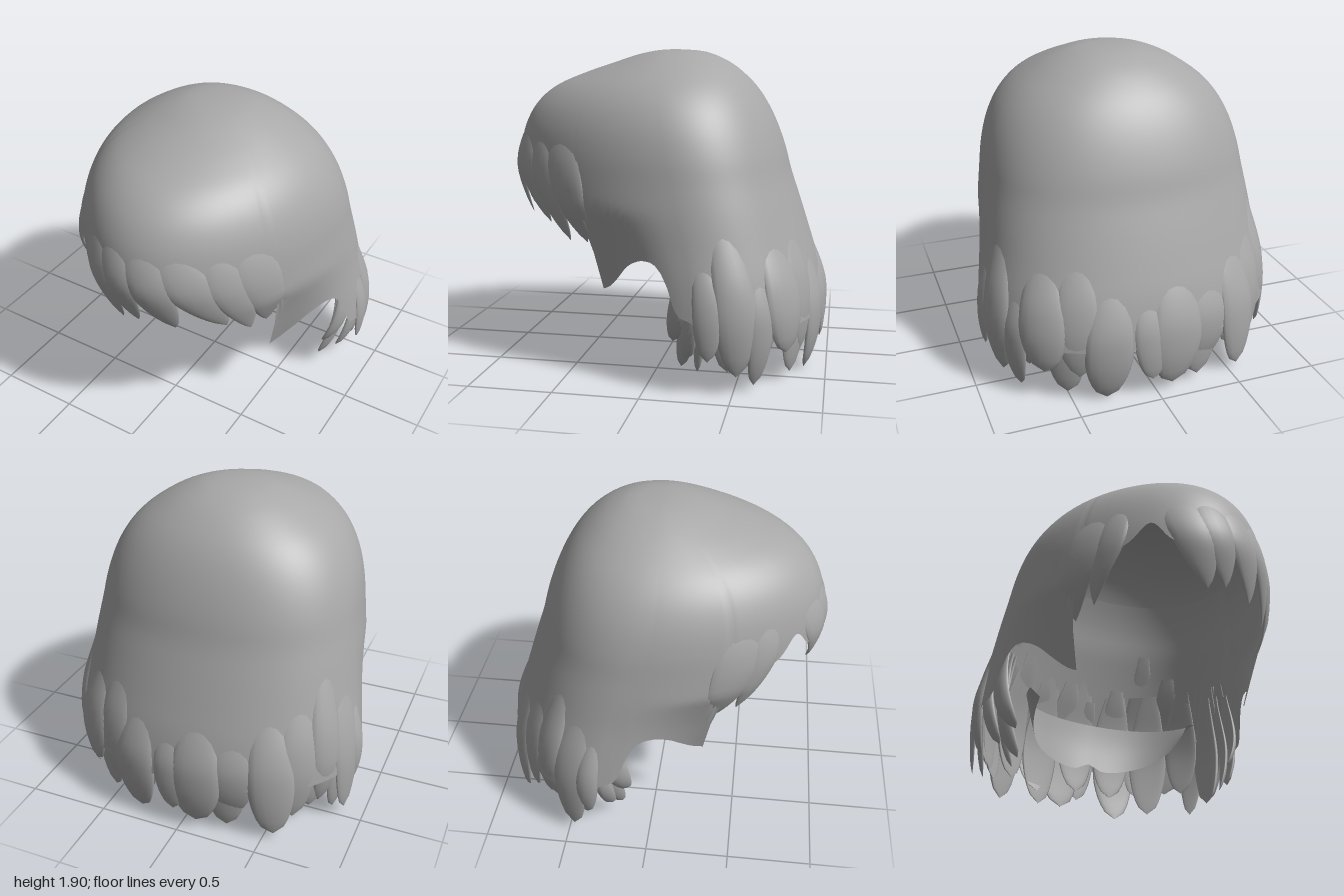
import * as THREE from 'three';
import { mergeVertices } from 'three/addons/utils/BufferGeometryUtils.js';

const RAD = Math.PI / 180;
const { lerp, clamp, smoothstep } = THREE.MathUtils;
const bump = (a, mid, width) => Math.exp(-(((a - mid) / width) ** 2));

// Outline of the hair by height: y, half width, front z, back z
const OUTLINE = [
  [1.9, 0, -0.02, -0.02], [1.888, 0.17, 0.12, -0.19], [1.86, 0.27, 0.24, -0.28],
  [1.82, 0.365, 0.36, -0.36], [1.76, 0.47, 0.54, -0.44], [1.68, 0.58, 0.73, -0.52],
  [1.58, 0.67, 0.855, -0.59], [1.45, 0.74, 0.935, -0.655], [1.3, 0.785, 0.975, -0.71],
  [1.15, 0.81, 0.985, -0.75], [1, 0.835, 0.96, -0.8], [0.8, 0.865, 0.92, -0.865],
  [0.6, 0.9, 0.9, -0.925], [0.4, 0.925, 0.9, -0.96], [0, 0.93, 0.88, -0.975],
].map(([y, ...row]) => [Math.sqrt(1.9 - y), ...row]);

// Bottom edge of the cap: degrees from the front, y
const HEM = [
  [0, 1.12], [48, 1.12], [57, 0.95], [60, 0.5], [62.5, 0.52], [65, 0.56], [68, 0.62],
  [71, 0.68], [74, 0.715], [77, 0.735], [80, 0.73], [82, 0.7], [84, 0.6], [86, 0.45],
  [100, 0.36], [180, 0.34],
];

function segment(table, key) {
  let i = 1;
  while (i < table.length - 1 && key > table[i][0]) i++;
  const [a, b] = [table[i - 1], table[i]];
  return [i, clamp((key - a[0]) / (b[0] - a[0]), 0, 1)];
}

// Smoothly interpolated outline at a height
function outline(y) {
  const [i, t] = segment(OUTLINE, Math.sqrt(Math.max(0, 1.9 - y)));
  const last = OUTLINE.length - 1;
  const slope = (k, c) => {
    const p = OUTLINE[Math.max(0, k - 1)], n = OUTLINE[Math.min(last, k + 1)];
    return (n[c] - p[c]) / (n[0] - p[0]);
  };
  const h = OUTLINE[i][0] - OUTLINE[i - 1][0];
  return [1, 2, 3].map((c) => {
    const a = OUTLINE[i - 1][c], b = OUTLINE[i][c];
    return lerp(a, b, t * t * (3 - 2 * t))
      + h * t * (1 - t) * ((1 - t) * slope(i - 1, c) - t * slope(i, c));
  });
}

// Point on the hair surface at an angle (0 = front, 90 = left) and height
function surface(deg, y, offset = 0, scale = 1) {
  const [hx, zf, zb] = outline(y);
  const s = Math.sin(deg * RAD), c = Math.cos(deg * RAD);
  const zc = -0.02 - 0.25 * smoothstep(1.9 - y, 0, 1.5);
  // narrower front corners, fuller back corners
  const full = 1 + (c > 0 ? -0.03 : 0.035) * (2 * s * c) ** 2;
  let x = hx * s * full;
  // side panels draw in toward the cheeks
  const side = Math.abs(((deg + 540) % 360) - 180);
  if (y < 1) x *= 1 - 0.5 * (1 - y) * bump(side, 60, 17);
  const z = (c > 0 ? zf - zc : zc - zb) * c * full;
  return [(x + s * offset) * scale, y, zc + (z + c * offset) * scale];
}

function hem(deg) {
  const [i, t] = segment(HEM, Math.abs(deg));
  return lerp(HEM[i - 1][1], HEM[i][1], t) + 0.14 * bump(deg, -30, 6);
}

// Sheet of nu by nv cells from a rule
function sheet(nu, nv, rule) {
  const pos = [], index = [];
  for (let j = 0; j <= nv; j++) {
    for (let i = 0; i <= nu; i++) pos.push(...rule(i / nu, j / nv));
  }
  for (let j = 0; j < nv; j++) {
    for (let i = 0; i < nu; i++) {
      const a = j * (nu + 1) + i, b = a + nu + 1;
      index.push(a, b, a + 1, a + 1, b, b + 1);
    }
  }
  let g = new THREE.BufferGeometry();
  g.setAttribute('position', new THREE.Float32BufferAttribute(pos, 3));
  g.setIndex(index);
  g = mergeVertices(g, 1e-5);
  g.computeVertexNormals();
  return g;
}

// Flat lock that rises out of the surface; "widest" is where it starts to taper to the tip
function lockGeometry({ top, tip, half, yTop, yTip, widest = 0.6, point = 0.5,
  thick = 0.03, scale = 1, curl = 0.04, sink = 0.045 }) {
  return sheet(16, 18, (u, v) => {
    const a = u >= 1 ? 0 : u * Math.PI * 2;
    const across = -Math.cos(a), out = Math.sin(a);
    const width = v < widest ? lerp(0.35, 1, Math.sin(v / widest * Math.PI / 2))
      : Math.max(0, 1 - ((v - widest) / (1 - widest)) ** 1.7) ** point;
    const deg = lerp(top, tip, v ** 1.5) + across * half * width;
    const lift = -sink * (1 - smoothstep(v, 0, 0.6));
    const body = thick * out * (out > 0 ? 1 : 0.5) * Math.min(1, width + 0.05);
    return surface(deg, lerp(yTop, yTip, v), lift + body - curl * v ** 4, scale);
  });
}

export function createModel() {
  const model = new THREE.Group();
  model.name = 'hair';
  const hair = new THREE.MeshStandardMaterial({ color: 0xa8a8a8, side: THREE.DoubleSide });
  hair.name = 'hair grey';

  const add = (name, geometry, parent = model) => {
    const mesh = new THREE.Mesh(geometry, hair);
    mesh.name = name;
    parent.add(mesh);
  };
  const group = (name) => {
    const g = new THREE.Group();
    g.name = name;
    model.add(g);
    return g;
  };

  // Main cap with side panels and open face
  add('cap', sheet(240, 40, (u, v) => {
    const deg = u >= 1 ? -180 : -180 + u * 360;
    return surface(deg, lerp(1.9, hem(deg), v ** 1.5));
  }));

  // Inner lining behind the face opening
  add('innerCap', sheet(48, 12, (u, v) => {
    const deg = lerp(85, 275, u);
    return surface(deg, lerp(1.5, 0.87 + 0.03 * Math.sin(u * 9), v), 0, 0.94);
  }));

  // Curved underlayer at the nape
  add('nape', sheet(36, 8, (u, v) => {
    const k = Math.abs(2 * u - 1);
    const low = 0.25 + 0.3 * k ** 2.2 + 0.05 * bump(k, 0, 0.08);
    const y = lerp(0.57 + 0.03 * u, low, v);
    return surface(lerp(95, 265, u), y, 0, 0.68 - 0.08 * v);
  }));

  // Fringe locks: top angle, tip angle, half width, tip height
  const fringe = group('fringe');
  [
    [-53, -58, 9, 0.78], [-42, -49, 6, 0.83], [-20, -5, 10, 0.88], [-8, 3, 9, 0.91],
    [6, 18, 10, 0.89], [19, 37, 10, 0.87], [36, 47, 8, 0.78], [50, 55, 9, 0.78],
  ].forEach(([top, tip, half, yTip], i) => add('fringeLock' + (i + 1), lockGeometry({
    top, tip, half, yTop: 1.6, yTip, widest: 0.5, point: 0.8, thick: 0.025, curl: 0.03,
  }), fringe));

  // Long outer locks around the back: angle, half width, top height, tip height
  const back = group('backLocks');
  [
    [98, 7, 0.95, 0.2], [110, 10, 1.15, 0.1], [124, 6, 0.9, 0.03], [135, 10, 1.0, 0.2],
    [149, 8, 1.15, 0.16], [162, 9, 0.9, 0], [175, 6, 0.8, 0.12], [187, 10, 0.9, 0.05],
    [201, 8, 0.85, 0.12], [214, 9, 1.0, 0.03], [227, 8, 1.15, 0.12], [239, 8, 1.25, 0.16],
    [252, 9, 1.2, 0.05], [263, 6, 0.9, 0.15],
  ].forEach(([deg, half, yTop, yTip], i) => add('backLock' + (i + 1), lockGeometry({
    top: deg, tip: deg + 2.5 * Math.sin(i * 2.3), half, yTop, yTip, widest: 0.65,
    thick: i % 2 ? 0.035 : 0.022, curl: 0.02 + 0.03 * (i % 3),
  }), back));

  // Locks filling the inside of the back
  const inner = group('innerLocks');
  for (let i = 0; i < 9; i++) {
    const deg = lerp(108, 252, i / 8);
    add('innerLock' + (i + 1), lockGeometry({
      top: deg, tip: deg + 3 * Math.sin(i * 3.1), half: 9, yTop: 0.95,
      yTip: 0.12 + 0.08 * Math.sin(i * 2.2), scale: 0.95, sink: 0,
    }), inner);
  }

  // Thin strands at the front edge of the long hair, mirrored
  const strands = group('sideStrands');
  for (const side of [-1, 1]) {
    [[89, 83, 0.26, 0.94], [92, 85, 0.1, 0.88], [94, 88, 0.18, 0.97], [97, 91, 0.07, 0.84]]
      .forEach(([top, tip, yTip, scale]) => add('sideStrand', lockGeometry({
        top: side * top, tip: side * tip, half: 3.6, yTop: 0.78, yTip, scale, curl: 0.07, sink: 0.01,
      }), strands));
  }
  return model;
}
